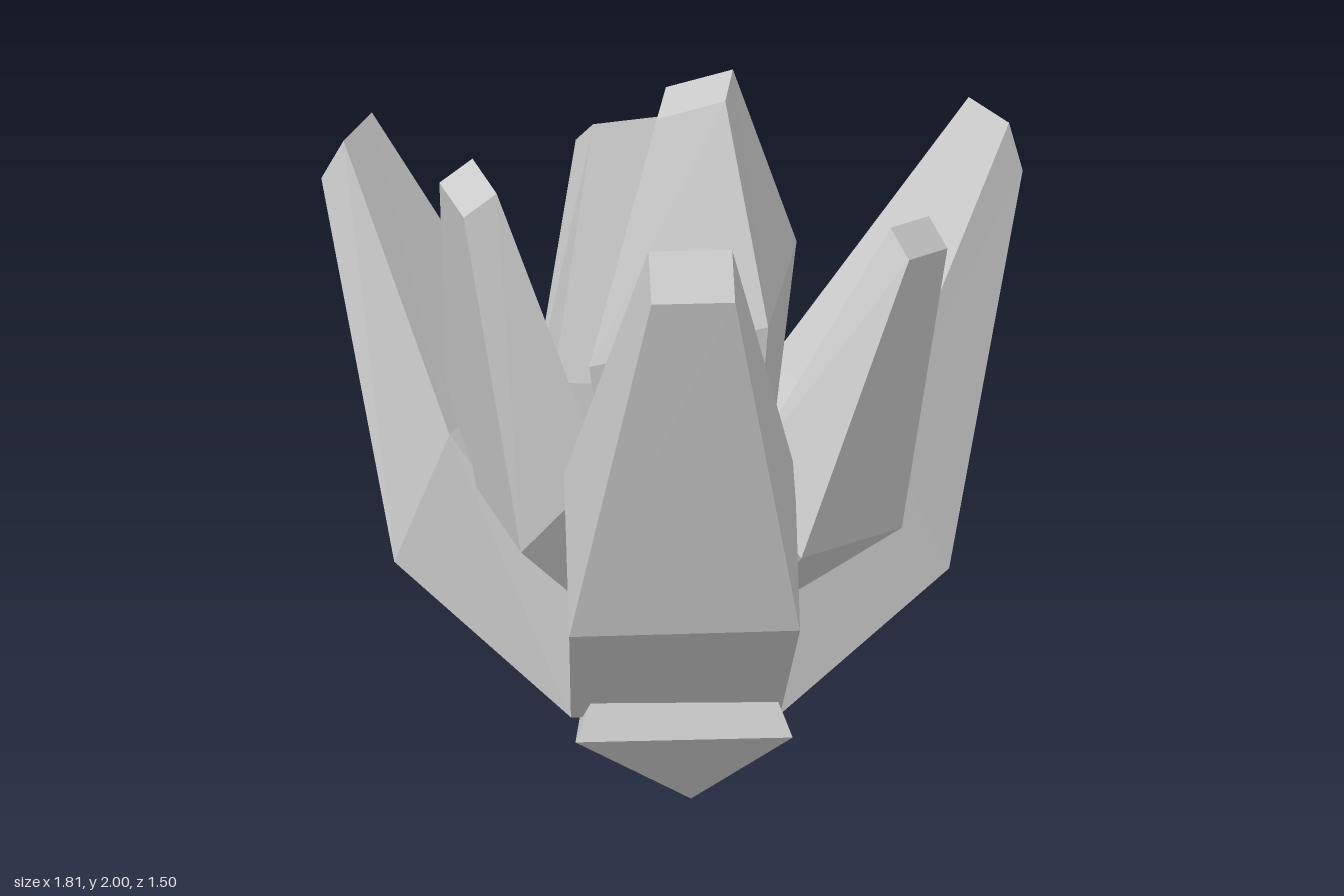
import * as THREE from 'three';

const material = new THREE.MeshStandardMaterial({ color: 0xcccccc, flatShading: true });

// Four-sided section: outer-left and outer-right corners plus the step to the inner edge
function section(left, right, step) {
  const move = (p) => p.map((v, i) => v + step[i]);
  return [left, right, move(right), move(left)];
}

// Joins sections (listed from bottom to top) into a closed faceted solid
function loft(name, sections) {
  const positions = [];
  const tri = (a, b, c) => positions.push(...a, ...b, ...c);
  for (let s = 0; s + 1 < sections.length; s++) {
    const low = sections[s], high = sections[s + 1], n = high.length;
    for (let i = 0; i < n; i++) {
      const j = (i + 1) % n;
      if (low.length === 1) {
        tri(low[0], high[j], high[i]);
      } else {
        tri(low[i], low[j], high[j]);
        tri(low[i], high[j], high[i]);
      }
    }
  }
  const first = sections[0], last = sections[sections.length - 1];
  for (let i = 1; i + 1 < last.length; i++) tri(last[0], last[i], last[i + 1]);
  for (let i = 1; i + 1 < first.length; i++) tri(first[0], first[i + 1], first[i]);
  const geometry = new THREE.BufferGeometry();
  geometry.setAttribute('position', new THREE.Float32BufferAttribute(positions, 3));
  geometry.computeVertexNormals();
  const mesh = new THREE.Mesh(geometry, material);
  mesh.name = name;
  return mesh;
}

export function createModel() {
  const group = new THREE.Group();
  group.name = 'crystalCluster';

  // Three-sided core that the large shards grow from
  const coreLeft = [-0.25, 0.29, 0.04], coreRight = [0.29, 0.29, 0], coreBack = [-0.01, 0.29, -0.45];
  const rise = [0, 0.33, 0];
  const lift = (p) => [p[0], p[1] + rise[1], p[2]];
  const corners = [coreLeft, coreRight, coreBack];
  group.add(loft('core', [corners, corners.map(lift)]));

  // Large shards, one on each side of the core
  group.add(loft('frontLargeShard', [
    section(coreLeft, coreRight, rise),
    section([-0.24, 0.69, 0.51], [0.355, 0.69, 0.445], [-0.02, 0.37, -0.21]),
    section([-0.02, 1.7, 0.745], [0.196, 1.7, 0.724], [-0.01, 0.12, -0.07]),
  ]));
  group.add(loft('backLeftLargeShard', [
    section(coreRight, coreBack, rise),
    section([0.72, 0.615, -0.22], [0.41, 0.615, -0.735], [-0.17, 0.4, 0.085]),
    section([0.9, 1.59, -0.555], [0.79, 1.59, -0.74], [-0.035, 0.135, 0.01]),
  ]));
  group.add(loft('backRightLargeShard', [
    section(coreBack, coreLeft, rise),
    section([-0.52, 0.675, -0.63], [-0.71, 0.675, -0.065], [0.145, 0.38, 0.07]),
    section([-0.84, 1.63, -0.545], [-0.907, 1.63, -0.337], [0.058, 0.11, 0.015]),
  ]));

  // Smaller pointed shards between the large ones
  group.add(loft('rightSmallShard', [
    [[-0.2, 0.58, 0.02]],
    section([-0.57, 0.95, -0.17], [-0.37, 0.85, 0.32], [0.21, 0.2, -0.066]),
    section([-0.588, 1.79, 0.109], [-0.52, 1.76, 0.284], [0.085, 0.06, -0.02]),
  ]));
  group.add(loft('leftSmallShard', [
    [[0.25, 0.58, 0.01]],
    section([0.355, 0.845, 0.325], [0.6, 0.755, -0.143], [-0.175, 0.155, -0.115]),
    section([0.63, 1.63, 0.215], [0.724, 1.6, 0.046], [-0.05, 0.068, -0.055]),
  ]));
  group.add(loft('backSmallShard', [
    [[-0.02, 0.56, -0.4]],
    section([0.1, 0.84, -0.71], [-0.375, 0.9, -0.56], [0.067, 0.17, 0.22]),
    section([-0.095, 1.61, -0.75], [-0.26, 1.61, -0.69], [0.047, 0.07, 0.07]),
  ]));

  // Tall middle shard
  group.add(loft('middleShard', [
    [[-0.1, 0.5, 0.0], [0.19, 0.5, 0.02], [0.21, 0.5, -0.26], [-0.08, 0.5, -0.28]],
    [[-0.2, 1.29, 0.123], [0.264, 1.42, 0.162], [0.322, 1.47, -0.337], [-0.148, 1.34, -0.375]],
    [[-0.03, 1.92, -0.027], [0.148, 1.98, -0.007], [0.162, 2, -0.186], [-0.012, 1.94, -0.21]],
  ]));

  // Pointed foot
  group.add(loft('foot', [
    [[0.055, 0, -0.143]],
    [[-0.235, 0.26, 0.143], [0.325, 0.26, 0.09], [0.23, 0.26, -0.43], [-0.22, 0.26, -0.38]],
    [[-0.1, 0.6, 0.03], [0.18, 0.6, 0], [0.13, 0.6, -0.3], [-0.11, 0.6, -0.27]],
  ]));

  return group;
}
